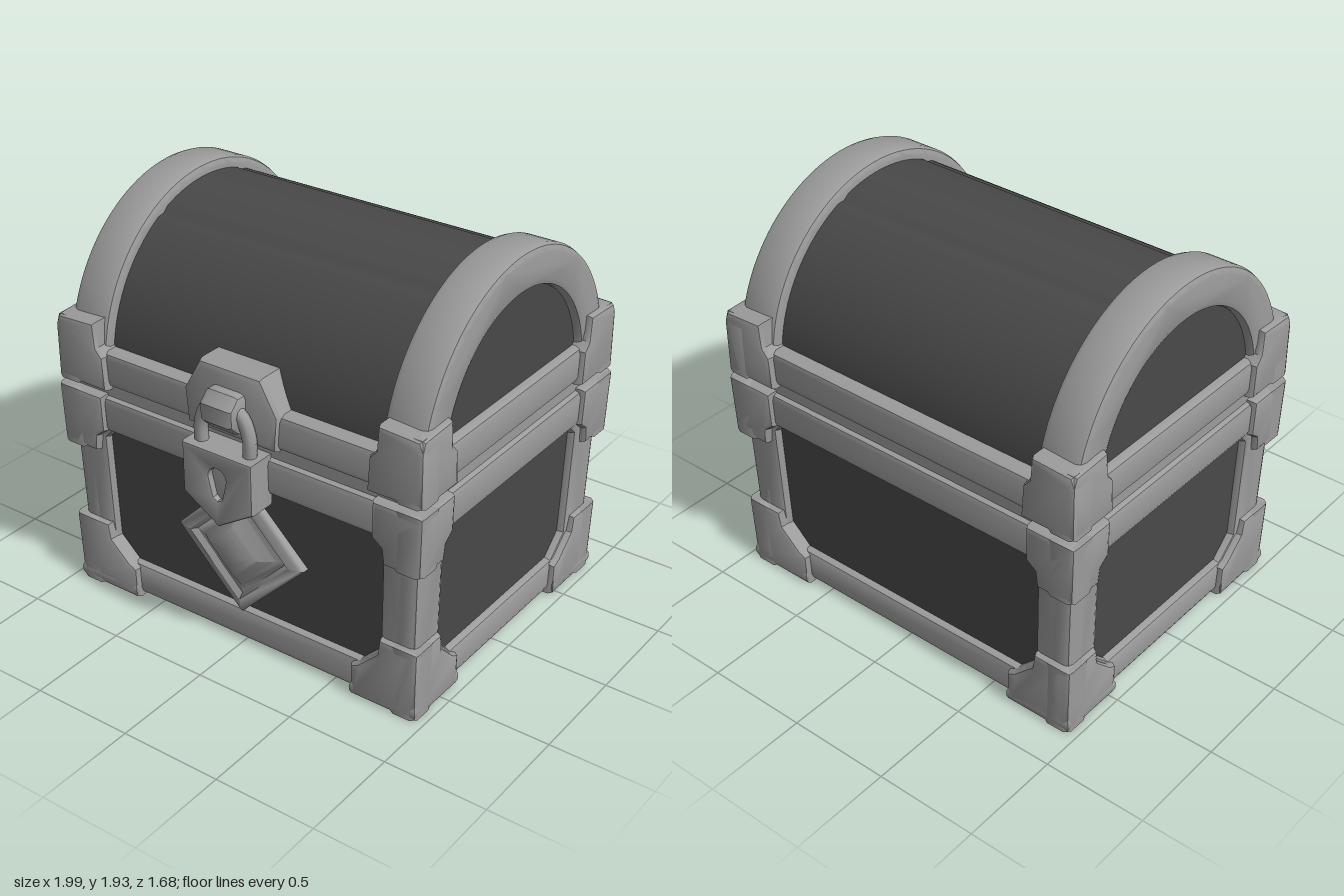
import * as THREE from 'three';
import { toCreasedNormals } from 'three/addons/utils/BufferGeometryUtils.js';

const frameMat = new THREE.MeshStandardMaterial({ color: 0x9c9c9c });
frameMat.name = 'metal grey';
const panelMat = new THREE.MeshStandardMaterial({ color: 0x494949 });
panelMat.name = 'dark wood';

const toShape = (pts) => new THREE.Shape(pts.map(([x, y]) => new THREE.Vector2(x, y)));

// Bevelled plate whose front face lies on z = 0
function plate(shape, depth, bevel, hole) {
  if (hole) shape.holes.push(hole);
  const g = new THREE.ExtrudeGeometry(shape, {
    depth: depth - 2 * bevel, bevelEnabled: bevel > 0, bevelThickness: bevel, bevelSize: bevel,
    bevelOffset: -bevel, bevelSegments: 2, curveSegments: 28,
  });
  g.translate(0, 0, bevel - depth);
  return toCreasedNormals(g, 0.6);
}

// Rectangle with cut corners, c0 at the bottom and c1 at the top
const cutRect = (w, y0, y1, c0, c1) => [
  [-w + c0, y0], [w - c0, y0], [w, y0 + c0], [w, y1 - c1],
  [w - c1, y1], [-w + c1, y1], [-w, y1 - c1], [-w, y0 + c0],
];

// The base widens gently towards its top
function taper(g) {
  const p = g.attributes.position;
  for (let i = 0; i < p.count; i++) {
    const s = 1 + 0.025 * (p.getY(i) - 0.2) / 0.8;
    p.setX(i, p.getX(i) * s);
    p.setZ(i, p.getZ(i) * s);
  }
  return g;
}

function add(parent, name, geo, mat = frameMat) {
  const m = new THREE.Mesh(geo, mat);
  m.name = name;
  parent.add(m);
}

function box(w, y0, y1, d) {
  return new THREE.BoxGeometry(w, y1 - y0, d).translate(0, (y0 + y1) / 2, 0);
}

// Four upright faces: turn, half width, distance from the middle
const faces = (X, Z) => [[0, X, Z], [Math.PI / 2, Z, X], [Math.PI, X, Z], [-Math.PI / 2, Z, X]];

// L-shaped plates wrapping all four corners; dx is measured inward from the edge
function corners(parent, name, X, Z, pts, rule = (g) => g) {
  const group = new THREE.Group();
  group.name = name;
  parent.add(group);
  for (const [turn, half, dist] of faces(X, Z)) {
    for (const s of [1, -1]) {
      const g = plate(toShape(pts.map(([dx, y]) => [s * (half - dx), y])), 0.14, 0.025);
      add(group, 'cornerPlate', rule(g.translate(0, 0, dist).rotateY(turn)));
    }
  }
}

function buildBase() {
  const base = new THREE.Group();
  base.name = 'base';
  add(base, 'basePanels', taper(box(1.79, 0.06, 1.0, 1.39)), panelMat);
  add(base, 'bottomPanel', box(1.7, 0.045, 0.07, 1.3));
  add(base, 'baseTop', box(1.88, 0.98, 1.15, 1.48));

  // Side frames with a window for each panel
  for (const [turn, half, dist] of faces(0.935, 0.735)) {
    const w = half > 0.9 ? 0.75 : 0.535;
    const g = plate(toShape(cutRect(half, 0.015, 1.05, 0, 0)), 0.12, 0.03,
      toShape(cutRect(w, 0.18, 0.86, 0.1, 0.04)));
    add(base, 'baseFrame', taper(g.translate(0, 0, dist).rotateY(turn)));
  }
  // Raised band under the lid
  for (const [turn, half, dist] of faces(0.945, 0.75)) {
    const g = plate(toShape(cutRect(half, 0.87, 1.05, 0, 0)), 0.1, 0.03);
    add(base, 'baseTopBand', taper(g.translate(0, 0, dist).rotateY(turn)));
  }
  corners(base, 'bottomCorners', 0.966, 0.768,
    [[0, 0], [0.35, 0], [0.35, 0.16], [0.31, 0.18], [0.21, 0.28], [0.2, 0.36], [0, 0.36]], taper);
  corners(base, 'topCorners', 0.97, 0.775,
    [[0, 0.76], [0.19, 0.76], [0.2, 0.84], [0.25, 0.88], [0.25, 1.06], [0, 1.06]], taper);

  // Underside frame and corner feet
  const under = plate(toShape(cutRect(0.93, -0.73, 0.73, 0, 0)), 0.07, 0.02,
    toShape(cutRect(0.7, -0.51, 0.51, 0.1, 0.1)));
  add(base, 'bottomFrame', taper(under.rotateX(Math.PI / 2).translate(0, 0.015, 0)));
  for (const sx of [1, -1]) for (const sz of [1, -1]) {
    const pts = [[0.966, 0.768], [0.62, 0.768], [0.62, 0.6], [0.74, 0.5], [0.966, 0.42]];
    const g = plate(toShape(pts.map(([x, z]) => [sx * x, sz * z])), 0.08, 0.025);
    add(base, 'foot', taper(g.rotateX(Math.PI / 2)));
  }
  return base;
}

function buildLid() {
  const lid = new THREE.Group();
  lid.name = 'lid';
  const cy = 1.19;

  // Plank barrel with two shallow grooves between the boards
  const grooves = [69, 117];
  const prof = [[0.685, 1.12]];
  for (let a = 0; a <= 180; a += 3) {
    const r = grooves.includes(a) ? 0.675 : 0.687;
    const t = THREE.MathUtils.degToRad(a);
    prof.push([r * Math.cos(t), cy + r * Math.sin(t)]);
  }
  prof.push([-0.685, 1.12]);
  const barrel = plate(toShape(prof), 1.82, 0);
  add(lid, 'lidPlanks', barrel.translate(0, 0, 0.91).rotateY(Math.PI / 2), panelMat);

  // Arched end frames
  for (const s of [1, -1]) {
    const arch = new THREE.Shape();
    arch.moveTo(-0.742, 1.105);
    arch.lineTo(0.742, 1.105);
    arch.absarc(0, cy, 0.742, 0, Math.PI, false);
    const hole = new THREE.Path();
    hole.absarc(0, cy, 0.555, 0.152, Math.PI - 0.152, false);
    hole.closePath();
    const g = plate(arch, 0.215, 0.03, hole);
    add(lid, 'lidArch', g.translate(0, 0, 0.955).rotateY(s * Math.PI / 2));
  }
  // Rim rails
  for (const [turn, half, dist] of faces(0.96, 0.76)) {
    const g = plate(toShape(cutRect(half, 1.105, 1.275, 0, 0)), 0.14, 0.03);
    add(lid, 'lidRail', g.translate(0, 0, dist).rotateY(turn));
  }
  corners(lid, 'lidCorners', 0.99, 0.793,
    [[0, 1.095], [0.28, 1.095], [0.27, 1.26], [0.235, 1.3], [0.225, 1.42], [0.02, 1.41], [0, 1.36]]);

  // Hasp plate
  const hasp = toShape([[-0.24, 1.1], [0.24, 1.1], [0.255, 1.27], [0.165, 1.43], [-0.165, 1.43], [-0.255, 1.27]]);
  add(lid, 'haspPlate', plate(hasp, 0.2, 0.03).translate(0, 0, 0.785));
  return lid;
}

function buildLock() {
  const lock = new THREE.Group();
  lock.name = 'padlock';
  const shield = () => toShape([[-0.19, 1.07], [-0.19, 0.82], [0, 0.7], [0.19, 0.82], [0.19, 1.07]]);

  // Teardrop keyhole
  const key = new THREE.Path();
  key.absarc(0, 0.945, 0.045, -0.3, Math.PI + 0.3, false);
  key.lineTo(-0.022, 0.845);
  key.lineTo(0, 0.832);
  key.lineTo(0.022, 0.845);
  key.closePath();
  add(lock, 'lockFace', plate(shield(), 0.06, 0.015, key).translate(0, 0, 0.885));
  add(lock, 'lockBody', plate(shield(), 0.12, 0.015).translate(0, 0, 0.855));

  // Shackle
  const path = new THREE.CatmullRomCurve3([
    [-0.13, 1.03], [-0.13, 1.16], [-0.09, 1.25], [0, 1.28], [0.09, 1.25], [0.13, 1.16], [0.13, 1.03],
  ].map(([x, y]) => new THREE.Vector3(x, y, 0.815)));
  add(lock, 'shackle', new THREE.TubeGeometry(path, 24, 0.032, 8));

  // Staple the shackle passes through
  const staple = toShape(cutRect(0.09, 1.16, 1.34, 0.05, 0.05));
  add(lock, 'staple', plate(staple, 0.18, 0.025).rotateY(Math.PI / 2).translate(0.09, 0, 0.79));
  return lock;
}

// Four-sided boss with a raised rim and a softly domed middle
function buildDiamond() {
  const prof = [[0.35, 0], [0.35, 0.09], [0.335, 0.105], [0.275, 0.115], [0.25, 0.09], [0.2, 0.1],
    [0.13, 0.15], [0.06, 0.172], [0.0001, 0.176]].map(([x, y]) => new THREE.Vector2(x, y));
  const g = toCreasedNormals(new THREE.LatheGeometry(prof, 4).toNonIndexed(), 1.0);
  return g.rotateX(Math.PI / 2).translate(0, 0.52, 0.64);
}

export function createModel() {
  const model = new THREE.Group();
  model.name = 'chest';
  const body = new THREE.Group();
  body.name = 'chestBody';
  body.position.z = -0.045;
  body.add(buildBase(), buildLid(), buildLock());
  add(body, 'diamondBoss', buildDiamond());
  model.add(body);
  return model;
}
